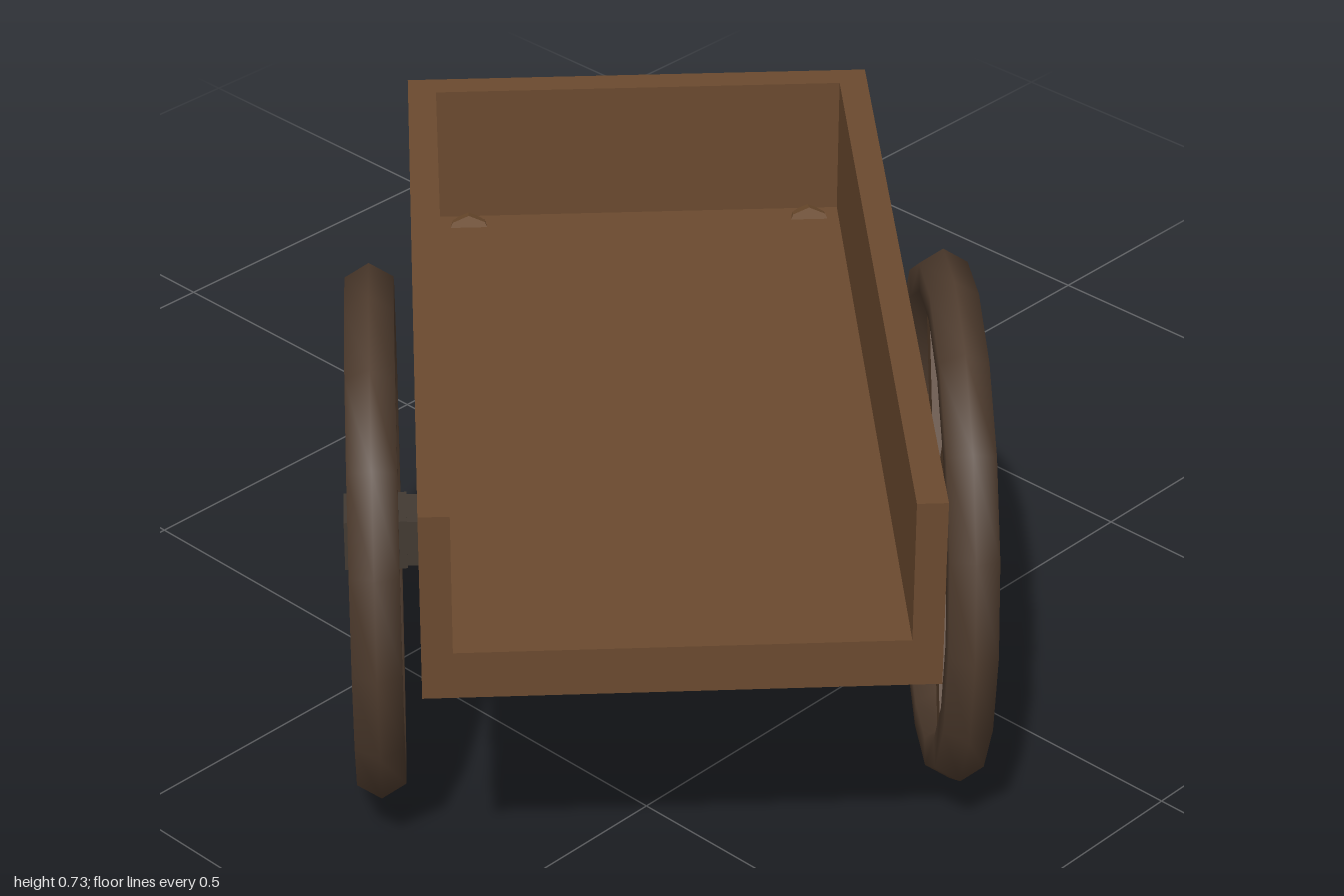
import * as THREE from 'three';

const mat = (color, flatShading = true) => new THREE.MeshStandardMaterial({ color, flatShading });
const plank = mat(0x6b4a2f);
const pole = mat(0x6e4c2e);
const rimWood = mat(0x4f3c2e, false);
const spokeWood = mat(0x553d2b);
const iron = mat(0x423a32);

function add(parent, name, geometry, material, x = 0, y = 0, z = 0) {
  const mesh = new THREE.Mesh(geometry, material);
  mesh.name = name;
  mesh.position.set(x, y, z);
  parent.add(mesh);
  return mesh;
}

// Wheel in the YZ plane: rim, six spokes and a square hub
function makeWheel(name) {
  const wheel = new THREE.Group();
  wheel.name = name;
  const rim = new THREE.TorusGeometry(0.328, 0.038, 6, 16).rotateY(Math.PI / 2);
  add(wheel, 'rim', rim, rimWood);
  for (let i = 0; i < 3; i++) {
    const spoke = add(wheel, 'spokePair', new THREE.BoxGeometry(0.035, 0.035, 0.64), spokeWood);
    spoke.rotation.x = (i * Math.PI) / 3;
  }
  add(wheel, 'hub', new THREE.BoxGeometry(0.085, 0.075, 0.075), iron);
  return wheel;
}

export function createModel() {
  const model = new THREE.Group();
  model.name = 'handcart';

  // The cart stands at an angle; its open end is local +z
  const cart = new THREE.Group();
  cart.name = 'cart';
  cart.position.set(0.345, 0, 0.317);
  cart.rotation.y = 0.82;
  model.add(cart);

  // Bed: thick floor, back board and two side boards
  const W = 0.66, L = 1.165, T = 0.04, bottom = 0.432, floorTop = 0.5, top = 0.704;
  const wallH = top - floorTop, wallY = (top + floorTop) / 2;
  add(cart, 'floor', new THREE.BoxGeometry(W, floorTop - bottom, L), plank, 0, (floorTop + bottom) / 2, 0);
  add(cart, 'backBoard', new THREE.BoxGeometry(W - 2 * T, wallH, T), plank, 0, wallY, -L / 2 + T / 2);

  // Axle under the bed
  const axleY = 0.37, axleZ = 0.092;
  add(cart, 'axle', new THREE.BoxGeometry(0.78, 0.07, 0.07), iron, 0, axleY, axleZ);

  for (const [side, s] of [['left', 1], ['right', -1]]) {
    add(cart, side + 'SideBoard', new THREE.BoxGeometry(T, wallH, L), plank, s * (W / 2 - T / 2), wallY, 0);

    const wheel = makeWheel(side + 'Wheel');
    wheel.position.set(s * 0.388, axleY, axleZ);
    cart.add(wheel);

    // Sloping pull pole, its upper end poking through the floor
    const a = new THREE.Vector3(s * 0.247, 0.105, -1.57);
    const b = new THREE.Vector3(s * 0.247, 0.485, -0.503);
    const shaft = add(cart, side + 'Pole', new THREE.CylinderGeometry(0.033, 0.033, a.distanceTo(b), 8), pole);
    shaft.position.copy(a).lerp(b, 0.5);
    shaft.quaternion.setFromUnitVectors(new THREE.Vector3(0, 1, 0), b.clone().sub(a).normalize());
  }
  return model;
}
